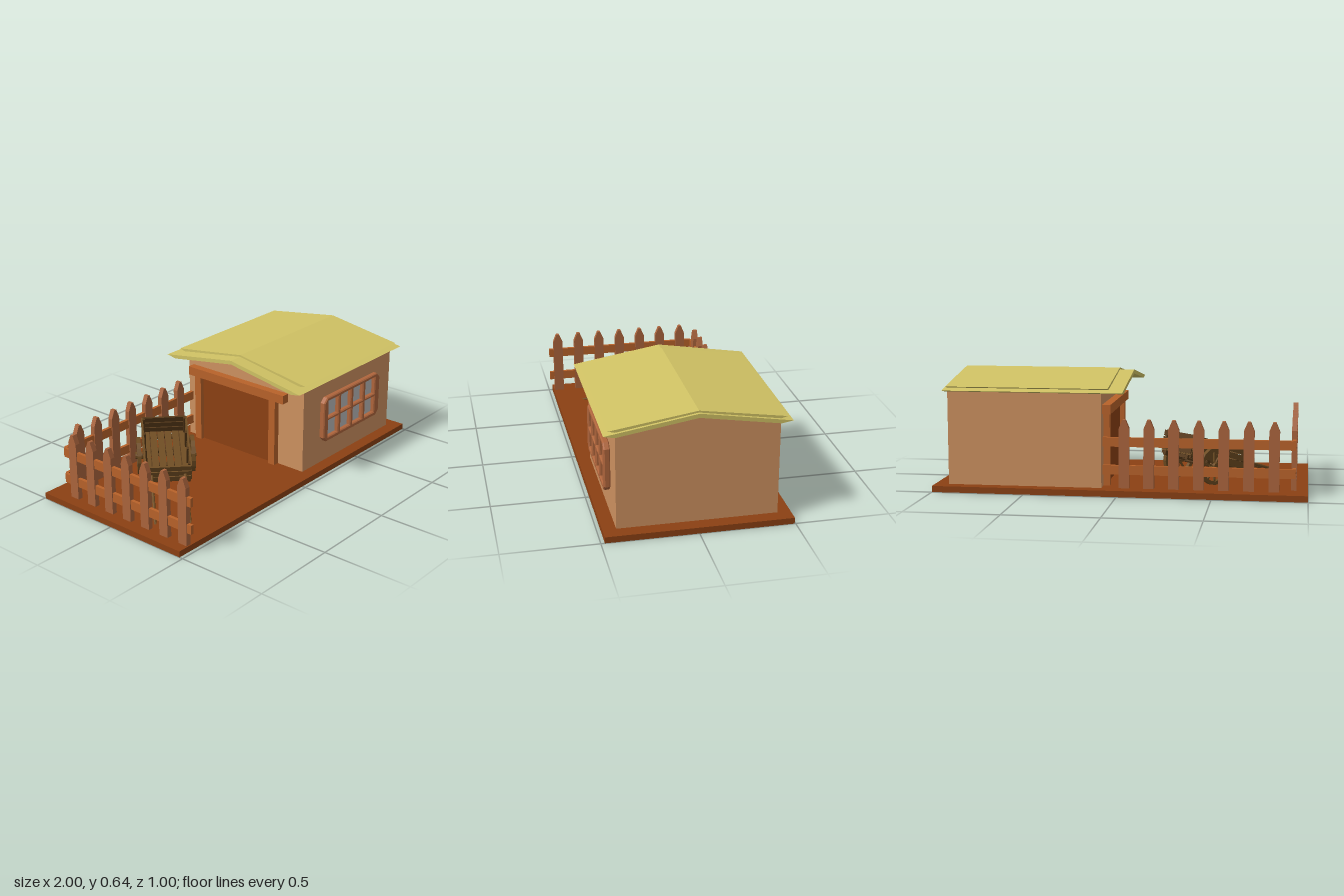
import * as THREE from 'three';

const mat = (color, side = THREE.FrontSide) => new THREE.MeshStandardMaterial({ color, side, flatShading: true });
const M = {
  earth: mat(0x8b4013), wall: mat(0xcd9160), roof: mat(0xd0c264), picket: mat(0xaa643c),
  rail: mat(0xb8622a), frame: mat(0xaf653c), glass: mat(0xbababa), cart: mat(0x6e4c22), dark: mat(0x553818),
};

function add(parent, name, geo, material, x = 0, y = 0, z = 0) {
  const m = new THREE.Mesh(geo, material);
  m.name = name;
  m.position.set(x, y, z);
  parent.add(m);
  return m;
}

// box given by its min and max on each axis
function box(parent, name, material, x0, x1, y0, y1, z0, z1) {
  return add(parent, name, new THREE.BoxGeometry(x1 - x0, y1 - y0, z1 - z0), material,
    (x0 + x1) / 2, (y0 + y1) / 2, (z0 + z1) / 2);
}

const shapeOf = pts => new THREE.Shape(pts.map(p => new THREE.Vector2(...p)));

// (z, y) section swept along x from x0 to x1
function sweepX(parent, name, material, pts, x0, x1) {
  const geo = new THREE.ExtrudeGeometry(shapeOf(pts), { depth: x1 - x0, bevelEnabled: false });
  geo.rotateY(-Math.PI / 2);
  return add(parent, name, geo, material, x1);
}

function makeHouse() {
  const g = new THREE.Group();
  g.name = 'house';
  const ridge = -0.007;
  sweepX(g, 'walls', M.wall, [[-0.425, 0.033], [0.41, 0.033], [0.41, 0.538], [ridge, 0.606], [-0.425, 0.538]], 0.09, 0.925);
  sweepX(g, 'lowerRoof', M.roof, [[0.41, 0.537], [0.47, 0.548], [ridge, 0.627], [-0.485, 0.548], [-0.425, 0.537], [ridge, 0.605]], -0.03, 0.94);
  sweepX(g, 'upperRoof', M.roof, [[0.4, 0.556], [0.445, 0.567], [ridge, 0.637], [-0.46, 0.567], [-0.415, 0.556], [ridge, 0.62]], 0.05, 0.925);

  // doorway on the yard side
  box(g, 'door', M.earth, 0.08, 0.1, 0.033, 0.43, -0.31, 0.22);
  for (const z of [-0.33, 0.215]) box(g, 'doorPost', M.rail, 0.055, 0.095, 0.033, 0.43, z - 0.022, z + 0.022);
  box(g, 'doorLintel', M.rail, 0.045, 0.095, 0.425, 0.475, -0.39, 0.3);
  return g;
}

function makeWindow() {
  const g = new THREE.Group();
  g.name = 'window';
  const [x0, x1, y0, y1, c] = [0.245, 0.775, 0.17, 0.425, 0.025];
  const frame = shapeOf([[x0 + c, y0], [x1 - c, y0], [x1, y0 + c], [x1, y1 - c], [x1 - c, y1], [x0 + c, y1], [x0, y1 - c], [x0, y0 + c]]);
  // eight pane openings
  for (let i = 0; i < 4; i++) for (let j = 0; j < 2; j++) {
    const a = 0.275 + i * 0.1195, b = 0.185 + j * 0.118;
    frame.holes.push(new THREE.Path([[a, b], [a, b + 0.11], [a + 0.105, b + 0.11], [a + 0.105, b]].map(p => new THREE.Vector2(...p))));
  }
  const geo = new THREE.ExtrudeGeometry(frame, { depth: 0.022, bevelEnabled: true, bevelSize: 0.005, bevelThickness: 0.006, bevelSegments: 1 });
  add(g, 'windowFrame', geo, M.frame, 0, 0, 0.415);
  box(g, 'glass', M.glass, 0.265, 0.75, 0.18, 0.42, 0.405, 0.418);
  return g;
}

// fence run along local x, pickets at the given positions
function makeFence(name, spots, from, to) {
  const g = new THREE.Group();
  g.name = name;
  const w = 0.028, d = 0.028;
  const geo = new THREE.ExtrudeGeometry(shapeOf([[-w, 0.03], [w, 0.03], [w, 0.352], [0.008, 0.4], [-0.008, 0.4], [-w, 0.352]]),
    { depth: d, bevelEnabled: false }).translate(0, 0, -d / 2);
  for (const s of spots) add(g, 'picket', geo, M.picket, s);
  for (const y of [0.105, 0.255]) box(g, 'rail', M.rail, from, to, y, y + 0.05, -0.009, 0.009);
  return g;
}

function makeWheel() {
  const g = new THREE.Group();
  g.name = 'wheel';
  const R = 0.102, r = 0.082, t = 0.022;
  const rim = new THREE.Shape().absarc(0, 0, R, 0, Math.PI * 2);
  rim.holes.push(new THREE.Path().absarc(0, 0, r, 0, Math.PI * 2, true));
  const geo = new THREE.ExtrudeGeometry(rim, { depth: t, bevelEnabled: false, curveSegments: 8 }).translate(0, 0, -t / 2);
  add(g, 'rim', geo, M.cart);
  add(g, 'hub', new THREE.CylinderGeometry(0.02, 0.02, 0.04, 10).rotateX(Math.PI / 2), M.cart);
  for (let i = 0; i < 10; i++) {
    const spoke = add(g, 'spoke', new THREE.BoxGeometry(0.009, 0.075, 0.01).translate(0, 0.048, 0), M.cart);
    spoke.rotation.z = i * Math.PI / 5;
  }
  return g;
}

// cart pointing along local +x, resting on its shafts
function makeCart() {
  const g = new THREE.Group();
  g.name = 'cart';
  const bed = new THREE.Group();
  bed.name = 'cartBed';
  bed.position.set(-0.015, 0.15, 0);
  bed.rotation.z = -0.305;
  g.add(bed);
  const L = 0.2, W = 0.122;

  // floor slats and cross beams
  for (let i = 0; i < 6; i++) {
    const z = -W + 0.02 + i * 0.0408;
    box(bed, 'floorSlat', M.cart, -L, L, 0, 0.01, z - 0.018, z + 0.018);
  }
  for (const x of [-0.17, -0.06, 0.06, 0.17]) box(bed, 'crossBeam', M.dark, x - 0.012, x + 0.012, -0.018, 0, -W, W);

  // plank sides with uprights, and a shaft each
  for (const s of [-1, 1]) {
    const side = (name, m, x0, x1, y0, y1, z, t) => box(bed, name, m, x0, x1, y0, y1, s * z - t / 2, s * z + t / 2);
    for (let j = 0; j < 3; j++) side('sidePlank', M.cart, -L, L, 0.008 + j * 0.036, 0.038 + j * 0.036, W, 0.01);
    for (const x of [-0.185, -0.065, 0.065, 0.185]) side('sidePost', M.dark, x - 0.01, x + 0.01, -0.015, 0.115, W - 0.009, 0.012);
    side('chassisBeam', M.dark, -L, L, -0.025, 0, 0.09, 0.02);
    const shaft = add(bed, 'shaft', new THREE.CylinderGeometry(0.007, 0.009, 0.42, 8).rotateZ(-Math.PI / 2), M.cart, 0.37, 0.05, s * 0.09);
    shaft.name = 'shaft';
  }

  // end boards
  for (const x of [-L, L]) for (let j = 0; j < 3; j++)
    box(bed, x < 0 ? 'tailBoard' : 'frontBoard', x < 0 ? M.dark : M.cart, x - 0.006, x + 0.006, 0.008 + j * 0.036, 0.038 + j * 0.036, -W, W);

  // axle and wheels
  add(g, 'axle', new THREE.CylinderGeometry(0.01, 0.01, 0.31, 8).rotateX(Math.PI / 2), M.dark, -0.06, 0.14, 0);
  for (const s of [-1, 1]) {
    const wheel = makeWheel();
    wheel.position.set(-0.06, 0.14, s * 0.148);
    g.add(wheel);
  }
  g.position.set(-0.435, 0, -0.13);
  g.rotation.y = -2.334;
  return g;
}

export function createModel() {
  const model = new THREE.Group();
  model.name = 'cottageYard';
  box(model, 'ground', M.earth, -1, 1, 0, 0.033, -0.495, 0.48);

  const back = makeFence('backFence', [0, 1, 2, 3, 4, 5, 6].map(i => -0.822 + i * 0.132), -0.92, 0.085);
  back.position.z = -0.403;
  const side = makeFence('sideFence', [0, 1, 2, 3, 4, 5, 6].map(i => -0.445 + i * 0.129), -0.5, 0.4);
  side.position.x = -0.925;
  side.rotation.y = Math.PI / 2;

  model.add(makeHouse(), makeWindow(), back, side, makeCart());
  return model;
}
